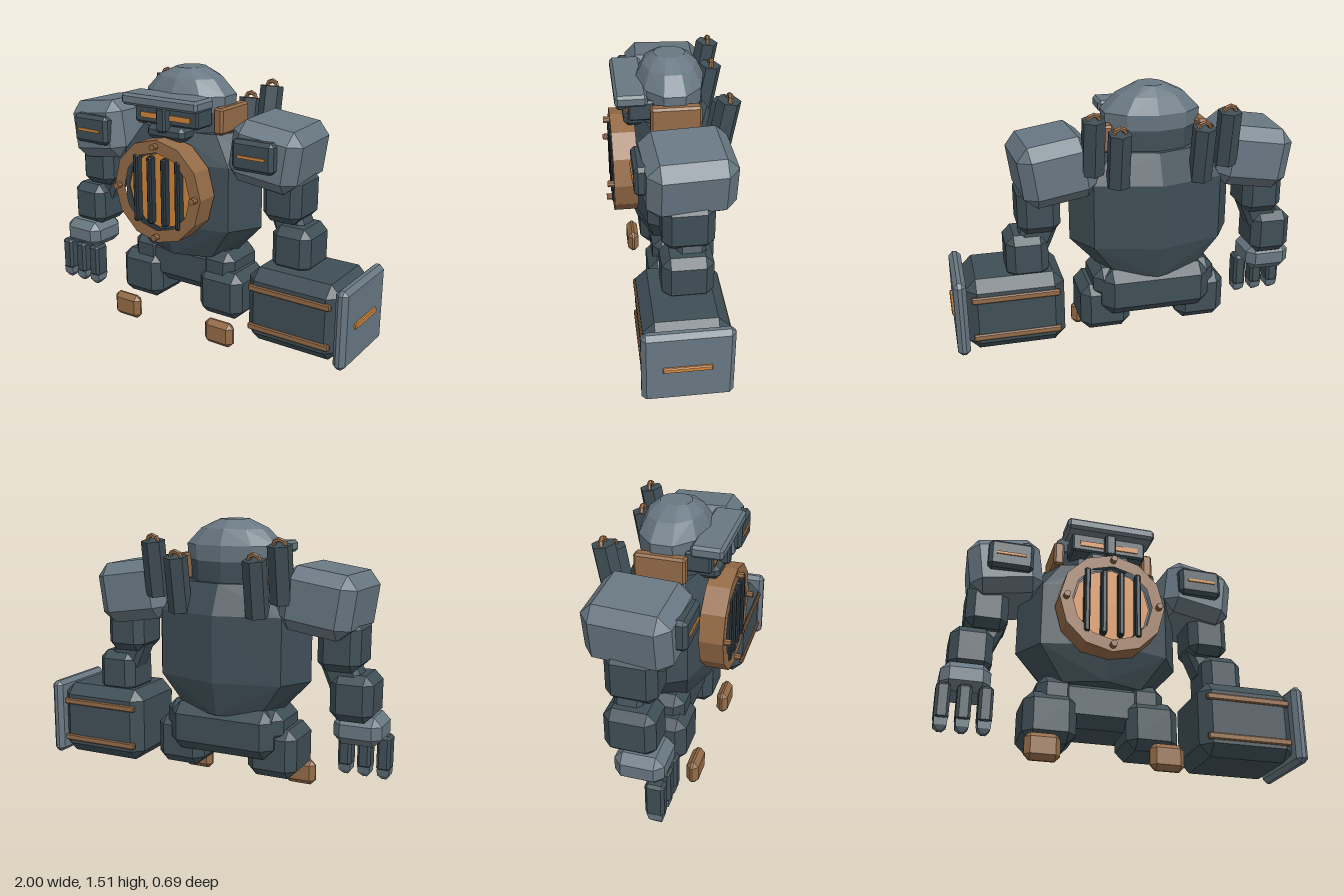
import * as THREE from 'three';
import { ConvexGeometry } from 'three/addons/geometries/ConvexGeometry.js';

const mat = (name, color) => {
  const m = new THREE.MeshStandardMaterial({ color });
  m.name = name;
  return m;
};

export function createModel() {
  const light = mat('lightSteel', 0x687782);
  const dark = mat('darkSteel', 0x3f4e56);
  const black = mat('blackIron', 0x2b373e);
  const copper = mat('copper', 0x946b47);
  const amber = mat('amber', 0xd0873a);

  const model = new THREE.Group();
  model.name = 'robot';
  const body = new THREE.Group();
  body.name = 'body';
  body.position.x = -0.13; // the big fist shifts the body off centre
  model.add(body);

  const add = (name, geometry, material, x = 0, y = 0, z = 0) => {
    let g = geometry;
    if (g.index) {
      g = g.toNonIndexed();
      g.computeVertexNormals(); // faceted
    }
    const m = new THREE.Mesh(g, material);
    m.name = name;
    m.position.set(x, y, z);
    body.add(m);
    return m;
  };

  // Box with chamfered edges, given by its size
  const chamferBox = (w, h, d, c) => {
    const pts = [];
    for (const i of [-1, 1]) for (const j of [-1, 1]) for (const k of [-1, 1]) {
      const x = w / 2, y = h / 2, z = d / 2;
      pts.push(new THREE.Vector3(i * x, j * (y - c), k * (z - c)));
      pts.push(new THREE.Vector3(i * (x - c), j * y, k * (z - c)));
      pts.push(new THREE.Vector3(i * (x - c), j * (y - c), k * z));
    }
    return new ConvexGeometry(pts);
  };

  // Box from its limits on each axis
  const block = (name, material, [x0, x1], [y0, y1], [z0, z1], c = 0) => {
    const s = [x1 - x0, y1 - y0, z1 - z0];
    const g = c ? chamferBox(...s, c) : new THREE.BoxGeometry(...s);
    return add(name, g, material, (x0 + x1) / 2, (y0 + y1) / 2, (z0 + z1) / 2);
  };

  // Same block on either side: s = -1 or 1
  const side = (s, a, b) => (s > 0 ? [a, b] : [-b, -a]);

  // Faceted solid from rings [y, half width, half depth, centre z]
  const hull = (section, rings) => new ConvexGeometry(rings.flatMap(([y, w, d, z]) =>
    section.map(([u, v]) => new THREE.Vector3(u * w, y, z + v * d))));
  const polygon = (n) => Array.from({ length: n }, (_, i) => {
    const a = (i / n) * Math.PI * 2;
    return [Math.sin(a), Math.cos(a)];
  });

  // Torso and pelvis
  const octagon = [[1, 0], [0.77, 0.65], [0, 1], [-0.77, 0.65], [-1, 0], [-0.77, -0.65], [0, -1], [0.77, -0.65]];
  add('torso', hull(octagon, [
    [0.47, 0.28, 0.21, -0.04], [0.66, 0.457, 0.27, -0.035],
    [1.02, 0.457, 0.27, -0.035], [1.18, 0.32, 0.2, -0.03]]), dark);
  block('pelvis', dark, [-0.31, 0.31], [0.24, 0.51], [-0.25, 0.1], 0.06);

  // Head
  add('neck', hull(polygon(10), [[1.12, 0.25, 0.18, -0.02], [1.34, 0.26, 0.18, -0.02]]), dark);
  add('dome', hull(polygon(10), [
    [1.29, 0.27, 0.18, -0.02], [1.375, 0.275, 0.185, -0.02],
    [1.46, 0.19, 0.145, -0.02], [1.51, 0.08, 0.085, -0.02]]), light);
  block('brow', light, [-0.25, 0.25], [1.32, 1.385], [0.12, 0.29], 0.015);
  block('face', dark, [-0.21, 0.21], [1.22, 1.33], [0.08, 0.22], 0.01);
  block('nose', dark, [-0.03, 0.03], [1.19, 1.32], [0.2, 0.27], 0.01);
  block('jaw', dark, [-0.125, 0.125], [1.14, 1.22], [0.08, 0.24], 0.025);
  for (const s of [-1, 1]) {
    block('eye', amber, side(s, 0.03, 0.165), [1.25, 1.28], [0.219, 0.227]);
    block('ear', copper, side(s, 0.23, 0.29), [1.18, 1.325], [-0.16, 0.11], 0.012);
  }

  // Furnace grille
  const ringShape = new THREE.Shape(polygon(12).map(([u, v]) => new THREE.Vector2(u * 0.29, v * 0.29)));
  ringShape.holes.push(new THREE.Path(polygon(12).map(([u, v]) => new THREE.Vector2(u * 0.22, v * 0.22))));
  add('grilleRing', new THREE.ExtrudeGeometry(ringShape, { depth: 0.13, bevelEnabled: false }), copper, 0, 0.87, 0.18);
  const disc = (name, r, z0, z1, material, x, y, n = 12) => {
    const m = add(name, new THREE.CylinderGeometry(r, r, z1 - z0, n), material, x, y, (z0 + z1) / 2);
    m.rotation.x = Math.PI / 2;
  };
  disc('grilleRim', 0.222, 0.18, 0.27, dark, 0, 0.87);
  disc('furnaceGlow', 0.21, 0.2, 0.278, amber, 0, 0.87);
  for (const x of [-0.14, -0.047, 0.047, 0.14])
    block('grilleBar', black, [x - 0.016, x + 0.016], [0.68, 1.06], [0.27, 0.32], 0.008);
  for (const [u, v] of polygon(4))
    disc('grilleBolt', 0.018, 0.3, 0.345, copper, u * 0.255, 0.87 + v * 0.255, 8);

  for (const s of [-1, 1]) {
    // Shoulder with badge plate
    const shoulder = add('shoulder', chamferBox(0.4, 0.335, 0.46, 0.065), light, s * 0.55, 1.11, -0.045);
    shoulder.rotation.set(0, s * 0.07, -s * 0.14);
    block('shoulderPlate', dark, side(s, 0.42, 0.665), [1.045, 1.21], [0.12, 0.23], 0.02);
    block('shoulderStripe', amber, side(s, 0.465, 0.625), [1.117, 1.132], [0.229, 0.237]);

    // Arm
    block('upperArm', dark, side(s, 0.52, 0.75), [0.75, 1.02], [-0.17, 0.1], 0.045);
    const elbow = add('elbow', chamferBox(0.18, 0.2, 0.15, 0.025), dark, s * 0.64, 0.75, -0.05);
    elbow.rotation.z = s * 0.4;
    block('forearm', dark, side(s, 0.59, 0.82), [0.49, 0.74], [-0.16, 0.11], 0.045);

    // Leg and foot
    block('leg', dark, side(s, 0.135, 0.42), [0.13, 0.405], [-0.18, 0.14], 0.05);
    block('hip', dark, side(s, 0.14, 0.35), [0.33, 0.51], [-0.2, 0.11], 0.05);
    block('foot', copper, side(s, 0.235, 0.42), [0, 0.145], [0.148, 0.216], 0.028);

    // Leaning exhaust pipes with a handle on top
    for (const [x, y] of [[0.362, 1.25], [0.226, 1.17]]) {
      const pipe = add('exhaustPipe', new THREE.CylinderGeometry(0.064, 0.064, 0.3, 6), dark, s * x, y, -0.255);
      pipe.rotation.x = -0.17;
      const handle = new THREE.TorusGeometry(0.033, 0.013, 6, 4, Math.PI).toNonIndexed();
      handle.computeVertexNormals();
      const h = new THREE.Mesh(handle, copper);
      h.name = 'pipeHandle';
      h.position.y = 0.145;
      pipe.add(h);
    }
  }

  // Clawed right hand
  block('hand', light, [-0.855, -0.595], [0.35, 0.51], [-0.1, 0.16], 0.045);
  for (const x of [-0.832, -0.725, -0.617]) {
    block('finger', dark, [x - 0.037, x + 0.037], [0.18, 0.375], [0.07, 0.17], 0.015);
    add('claw', hull([[1, 1], [-1, 1], [-1, -1], [1, -1]],
      [[0.19, 0.034, 0.042, 0.12], [0.15, 0.032, 0.035, 0.125], [0.125, 0.012, 0.015, 0.13]]), light);
    body.children[body.children.length - 1].position.x = x;
  }

  // Hammer fist on the left arm
  block('hammer', dark, [0.515, 1.055], [0.105, 0.525], [-0.21, 0.232], 0.06);
  for (const y of [0.202, 0.425]) for (const z of [-0.208, 0.23])
    block('hammerStrap', copper, [0.545, 1.025], [y - 0.018, y + 0.018], [z - 0.012, z + 0.012], 0.006);
  block('hammerPlate', light, [1.048, 1.117], [0.098, 0.535], [-0.222, 0.25], 0.024);
  block('hammerStripe', amber, [1.112, 1.13], [0.302, 0.332], [-0.106, 0.144], 0.005);

  return model;
}
